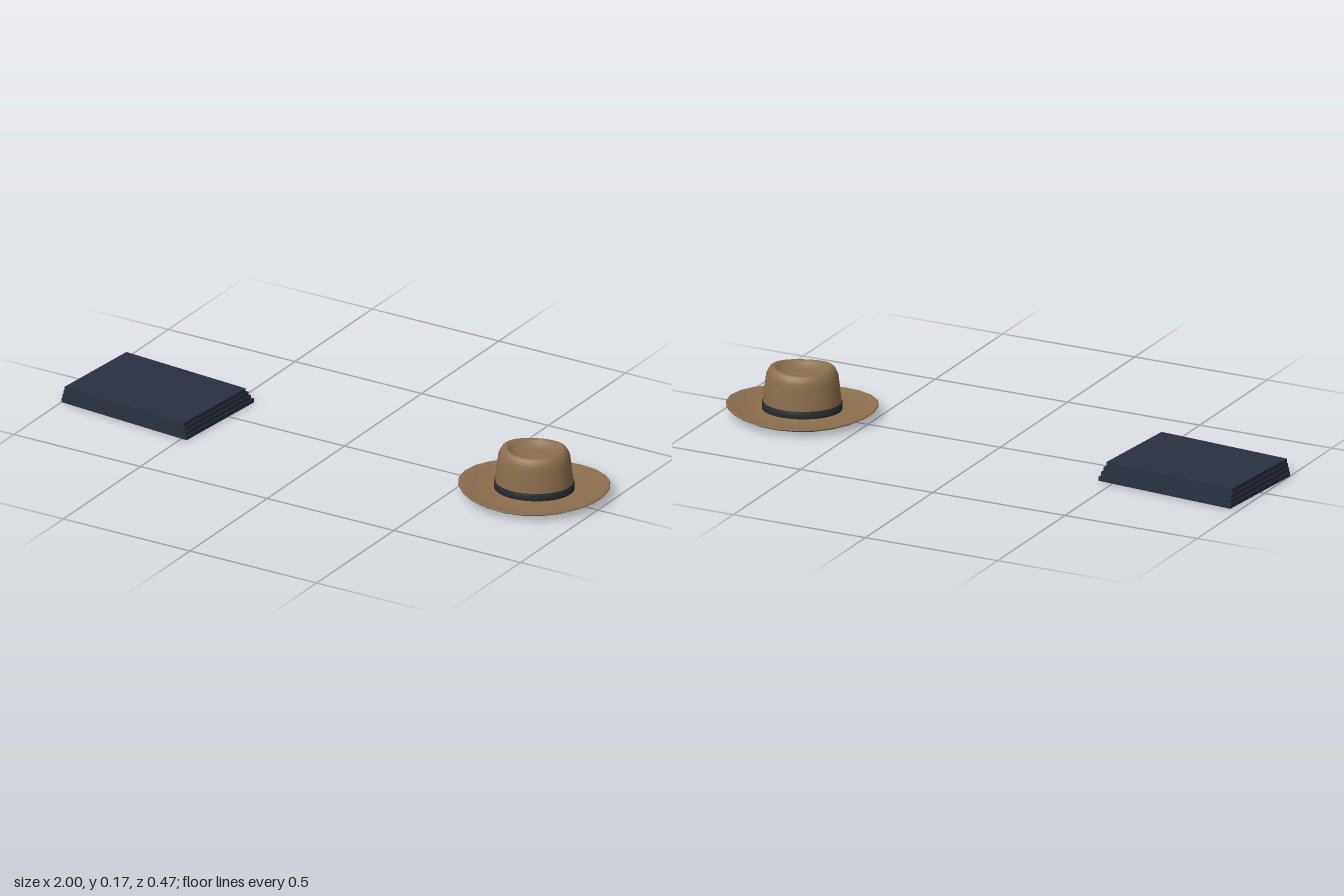
import * as THREE from 'three';
import { mergeVertices } from 'three/addons/utils/BufferGeometryUtils.js';

const felt = new THREE.MeshStandardMaterial({ color: 0x8b6f4e });
const ribbon = new THREE.MeshStandardMaterial({ color: 0x2b2c30 });
const cloth = new THREE.MeshStandardMaterial({ color: 0x2a3040 });

// Move every vertex of a geometry by a rule and rebuild smooth normals
function reshape(geometry, rule, smooth = true) {
  const v = new THREE.Vector3();
  if (smooth) {
    geometry.deleteAttribute('uv');
    geometry.deleteAttribute('normal');
    geometry = mergeVertices(geometry, 1e-5);
  }
  const pos = geometry.attributes.position;
  for (let i = 0; i < pos.count; i++) {
    v.fromBufferAttribute(pos, i);
    rule(v);
    pos.setXYZ(i, v.x, v.y, v.z);
  }
  geometry.computeVertexNormals();
  return geometry;
}

// Oval lathe: profile radii are fractions of the half length a and half width b;
// saddle(r, y) lifts the two long ends and lowers the sides
function oval(name, profile, a, b, segments, material, saddle = () => 0) {
  const points = profile.map(([r, y]) => new THREE.Vector2(r, y));
  const geometry = reshape(new THREE.LatheGeometry(points, segments), (v) => {
    const r = Math.hypot(v.x, v.z);
    const cos2 = r > 1e-4 ? (v.x * v.x - v.z * v.z) / (r * r) : 0;
    v.set(v.x * a, v.y + cos2 * saddle(r, v.y), v.z * b);
  });
  const mesh = new THREE.Mesh(geometry, material);
  mesh.name = name;
  return mesh;
}

function createHat() {
  const hat = new THREE.Group();
  hat.name = 'hat';

  // Closed brim with an upturned edge
  hat.add(oval('brim', [
    [0, 0.004], [0.5, 0.004], [0.7, 0.006], [0.84, 0.011], [0.94, 0.019], [0.995, 0.026],
    [1, 0.029], [0.985, 0.032], [0.92, 0.027], [0.8, 0.022], [0.65, 0.02], [0.5, 0.021], [0.4, 0.022],
  ], 0.259, 0.228, 24, felt, (r) => 0.008 * THREE.MathUtils.smoothstep(r, 0.5, 1)));

  // Crown wall, rounded shoulder and dished top
  hat.add(oval('crown', [
    [0.99, 0.018], [0.985, 0.045], [0.96, 0.08], [0.93, 0.115], [0.905, 0.14], [0.86, 0.153],
    [0.81, 0.163], [0.76, 0.168], [0.7, 0.168], [0.64, 0.162], [0.56, 0.152], [0.44, 0.146],
    [0.25, 0.145], [0, 0.146],
  ], 0.135, 0.113, 40, felt, (r, y) => 0.004 * THREE.MathUtils.smoothstep(y, 0.12, 0.168)));

  // Ribbon around the foot of the crown
  hat.add(oval('hatBand', [
    [0.98, 0.018], [1.012, 0.019], [1.012, 0.032], [1.006, 0.046], [0.975, 0.047],
  ], 0.135, 0.113, 40, ribbon));

  hat.position.set(0.745, 0, -0.007);
  hat.rotation.y = 0.37;
  return hat;
}

function createFoldedCloth() {
  const stack = new THREE.Group();
  stack.name = 'foldedCloth';
  const width = 0.523, depth = 0.382, thick = 0.015;

  // Each fold is a little smaller, flush along the front edge
  for (let i = 0; i < 4; i++) {
    const w = width - i * 0.008, d = depth - i * 0.01;
    const top = i === 3;
    let geometry = new THREE.BoxGeometry(w, thick, d, top ? 8 : 1, 1, top ? 6 : 1);
    if (top) {
      // Slight swell in the middle of the uppermost fold
      geometry = reshape(geometry, (v) => {
        if (v.y > 0) v.y += 0.005 * Math.cos(v.x / w * Math.PI) * Math.cos(v.z / d * Math.PI);
      }, false);
    }
    const fold = new THREE.Mesh(geometry, cloth);
    fold.name = `fold${i + 1}`;
    fold.position.set(0, (i + 0.5) * thick, (depth - d) / 2);
    stack.add(fold);
  }

  stack.position.set(-0.7225, 0, 0.024);
  stack.rotation.y = -0.087;
  return stack;
}

export function createModel() {
  const model = new THREE.Group();
  model.name = 'hatAndFoldedCloth';
  model.add(createHat(), createFoldedCloth());
  return model;
}
